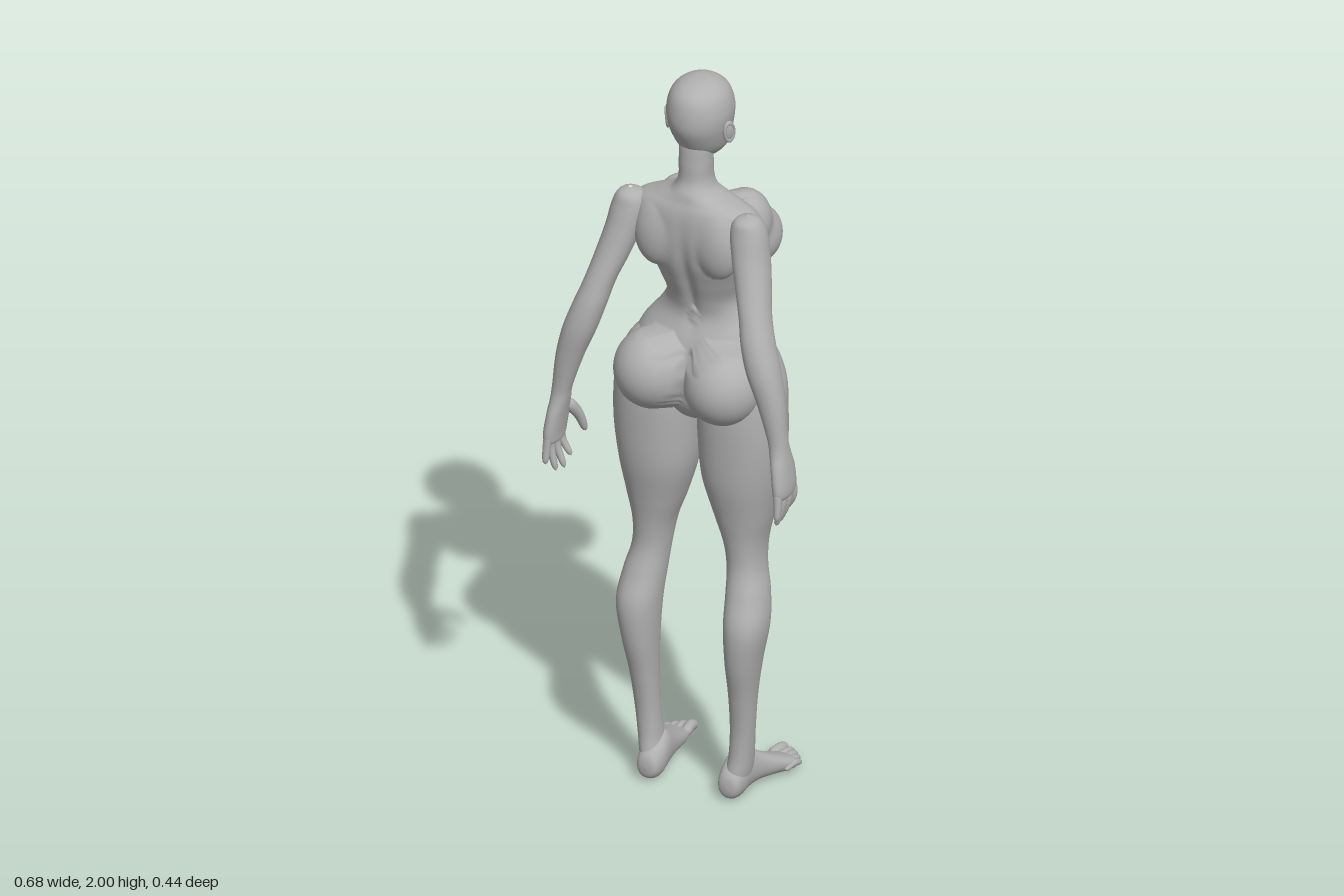
import * as THREE from 'three';

const skin = new THREE.MeshStandardMaterial({ color: 0xb0b0b0 });
skin.name = 'clay grey';

// Closed skin over a grid of points; wraps around each ring and always faces outwards
function skinGrid(rings) {
  const n = rings[0].length, pos = rings.flat(), index = [];
  for (let i = 0; i < rings.length - 1; i++) {
    for (let j = 0; j < n; j++) {
      const a = i * n + j, b = i * n + (j + 1) % n;
      index.push(a, b, a + n, b, b + n, a + n);
    }
  }
  let volume = 0;
  for (let i = 0; i < index.length; i += 3) {
    volume += pos[index[i]].dot(pos[index[i + 1]].clone().cross(pos[index[i + 2]]));
  }
  if (volume < 0) index.reverse();
  const g = new THREE.BufferGeometry().setFromPoints(pos);
  g.setIndex(index);
  g.computeVertexNormals();
  return g;
}

// Smooth in-between rows of a table of cross-sections
function refine(rows, steps) {
  const at = (i) => rows[Math.min(Math.max(i, 0), rows.length - 1)];
  const out = [];
  for (let i = 0; i < rows.length - 1; i++) {
    for (let s = 0; s < steps; s++) {
      const t = s / steps;
      out.push(rows[i].map((b, k) => {
        const a = at(i - 1)[k], c = at(i + 1)[k], d = at(i + 2)[k];
        return b + 0.5 * t * (c - a + t * (2 * a - 5 * b + 4 * c - d + t * (3 * (b - c) + d - a)));
      }));
    }
  }
  out.push(rows[rows.length - 1]);
  return out;
}

// Rows are [t, u0, u1, v0, v1]: position along the loft and the bounds of a rounded section
function loft(rows, place, sides = 32, steps = 6, power = 0.92) {
  const soft = (v) => Math.sign(v) * Math.abs(v) ** power;
  return skinGrid(refine(rows, steps).map(([t, u0, u1, v0, v1]) =>
    Array.from({ length: sides }, (_, j) => {
      const a = (j / sides) * Math.PI * 2;
      return place(t, (u0 + u1) / 2 + (u1 - u0) / 2 * soft(Math.cos(a)),
        (v0 + v1) / 2 + (v1 - v0) / 2 * soft(Math.sin(a)));
    })));
}
const upright = (y, x, z) => new THREE.Vector3(x, y, z);
const lengthwise = (z, x, y) => new THREE.Vector3(x, y, z);

// Round-ended tapering tube through points
function digit(points, r0, r1 = r0, sides = 12) {
  const curve = new THREE.CatmullRomCurve3(points.map((p) => new THREE.Vector3(...p)));
  const n = 16, frames = curve.computeFrenetFrames(n);
  return skinGrid(Array.from({ length: n + 1 }, (_, i) => {
    const t = i / n, r = (r0 + (r1 - r0) * t) * Math.sqrt(Math.max(0, 1 - Math.abs(2 * t - 1) ** 6));
    return Array.from({ length: sides }, (_, j) => {
      const a = (j / sides) * Math.PI * 2;
      return curve.getPointAt(t).addScaledVector(frames.normals[i], r * Math.cos(a))
        .addScaledVector(frames.binormals[i], r * Math.sin(a));
    });
  }));
}

const ball = (x, y, z, rx, ry, rz) =>
  new THREE.SphereGeometry(1, 24, 16).scale(rx, ry, rz).translate(x, y, z);

function mirrored(g) {
  const m = g.clone().scale(-1, 1, 1);
  m.setIndex(Array.from(g.index.array).reverse());
  m.computeVertexNormals();
  return m;
}

// Muscle and soft masses blended into the torso: centre, then radii
const masses = [
  [0.088, 1.515, -0.12, 0.07, 0.078, 0.085],
  [0.085, 1.575, -0.075, 0.07, 0.085, 0.075],
  [0.097, 1.18, 0.06, 0.1, 0.105, 0.105],
  [0.085, 1.57, 0.065, 0.06, 0.09, 0.042],
];

function torsoGeometry() {
  // y, half width, front z, back z
  const rows = [
    [1.85, 0, 0.02, 0.02], [1.84, 0.038, -0.015, 0.055], [1.78, 0.042, -0.025, 0.063],
    [1.73, 0.043, -0.03, 0.066], [1.7, 0.058, -0.035, 0.08], [1.68, 0.1, -0.042, 0.086],
    [1.655, 0.155, -0.052, 0.095], [1.62, 0.175, -0.072, 0.1], [1.56, 0.155, -0.09, 0.1],
    [1.5, 0.132, -0.1, 0.09], [1.44, 0.113, -0.112, 0.068], [1.38, 0.101, -0.125, 0.045],
    [1.33, 0.125, -0.133, 0.037], [1.27, 0.17, -0.14, 0.06], [1.2, 0.195, -0.135, 0.08],
    [1.13, 0.18, -0.115, 0.088], [1.08, 0.11, -0.09, 0.07], [1.05, 0.04, -0.05, 0.04],
    [1.045, 0, 0, 0],
  ].map(([y, w, f, b]) => [y, -w, w, f, b]);
  const g = loft(rows, (y, x, z) => {
    const axis = 0.01;
    let r = Math.hypot(x, z - axis);
    if (r < 0.03 || y > 1.72 || y < 1.06) return upright(y, x, z);
    const dx = Math.abs(x) / r, dz = (z - axis) / r;
    // Spine groove
    if (dz > 0) r -= 0.012 * Math.exp(-((x / 0.018) ** 2) - ((y - 1.45) / 0.13) ** 2);
    for (const [ex, ey, ez, ax, ay, az] of masses) {
      const ox = -ex / ax, oy = (y - ey) / ay, oz = (axis - ez) / az;
      const A = (dx / ax) ** 2 + (dz / az) ** 2, B = ox * dx / ax + oz * dz / az;
      const disc = B * B - A * (ox * ox + oy * oy + oz * oz - 1);
      if (disc <= 0) continue;
      const far = (-B + Math.sqrt(disc)) / A, k = 0.015;
      const h = Math.max(k - Math.abs(r - far), 0) / k;
      r = Math.max(r, far) + h * h * k / 4;
    }
    return upright(y, Math.sign(x) * dx * r, axis + dz * r);
  }, 120, 8);
  return g;
}

function headGeometry() {
  // y, half width, front z, back z
  const rows = [
    [2, 0, -0.01, -0.01], [1.997, 0.025, -0.035, 0.02], [1.985, 0.052, -0.062, 0.055],
    [1.96, 0.073, -0.088, 0.08], [1.92, 0.083, -0.101, 0.09], [1.88, 0.08, -0.102, 0.088],
    [1.84, 0.071, -0.099, 0.07], [1.81, 0.06, -0.097, 0.05], [1.787, 0.042, -0.094, 0.025],
    [1.774, 0.024, -0.087, -0.005], [1.768, 0, -0.05, -0.05],
  ].map(([y, w, f, b]) => [y, -w, w, f, b]);
  return loft(rows, (y, x, z) => {
    if (z < -0.03) {
      // Eye sockets, brow and cheeks
      const ax = Math.abs(x);
      const bump = (cx, cy, sx, sy) => Math.exp(-(((ax - cx) / sx) ** 2) - ((y - cy) / sy) ** 2);
      z += 0.012 * bump(0.033, 1.868, 0.018, 0.013) - 0.004 * bump(0.045, 1.838, 0.02, 0.015);
    }
    return upright(y, x, z);
  }, 64, 8, 1);
}

export function createModel() {
  const model = new THREE.Group();
  model.name = 'figure';
  const add = (name, g) => {
    const m = new THREE.Mesh(g, skin);
    m.name = name;
    model.add(m);
  };
  const pair = (name, g) => {
    add(name + 'Left', g);
    add(name + 'Right', mirrored(g));
  };

  add('torso', torsoGeometry());
  add('head', headGeometry());

  // Face
  add('noseBridge', digit([[0, 1.878, -0.096], [0, 1.855, -0.105], [0, 1.834, -0.111]], 0.007, 0.01));
  add('noseTip', ball(0, 1.837, -0.109, 0.009, 0.008, 0.011));
  pair('nostril', ball(0.009, 1.834, -0.103, 0.007, 0.006, 0.009));
  add('upperLip', ball(0, 1.811, -0.097, 0.02, 0.005, 0.008));
  add('lowerLip', ball(0, 1.803, -0.096, 0.017, 0.006, 0.008));
  pair('eye', ball(0.033, 1.867, -0.078, 0.015, 0.009, 0.011));
  pair('brow', digit([[0.014, 1.88, -0.096], [0.035, 1.887, -0.089], [0.054, 1.88, -0.074]], 0.005, 0.004));

  // Ears
  const ear = (g) => g.rotateY(Math.PI / 2 - 0.45).rotateX(0.2).translate(0.086, 1.868, 0.008);
  pair('earRim', ear(new THREE.TorusGeometry(0.018, 0.005, 10, 24).scale(0.8, 1.45, 1)));
  pair('earBowl', ear(new THREE.SphereGeometry(1, 16, 12).scale(0.014, 0.025, 0.006)));

  // Arms, from shoulder through palm
  pair('arm', loft([
    [1.673, 0.16, 0.17, 0.05, 0.06], [1.662, 0.132, 0.194, 0.025, 0.09],
    [1.63, 0.12, 0.21, 0.01, 0.102], [1.57, 0.13, 0.222, 0.012, 0.118],
    [1.5, 0.152, 0.238, 0.038, 0.14], [1.43, 0.177, 0.255, 0.072, 0.166],
    [1.37, 0.192, 0.275, 0.092, 0.186], [1.3, 0.213, 0.298, 0.106, 0.197],
    [1.22, 0.245, 0.315, 0.12, 0.195], [1.13, 0.274, 0.324, 0.133, 0.19],
    [1.09, 0.282, 0.329, 0.127, 0.194], [1.05, 0.29, 0.335, 0.115, 0.206],
    [1, 0.298, 0.34, 0.114, 0.213], [0.975, 0.302, 0.336, 0.125, 0.205],
    [0.968, 0.32, 0.32, 0.165, 0.165],
  ], upright));
  // Knuckle z, tip x, tip y, tip z
  [[0.125, 0.297, 0.905, 0.118], [0.151, 0.298, 0.886, 0.152],
    [0.177, 0.306, 0.892, 0.184], [0.2, 0.322, 0.92, 0.212]].forEach(([z, x, y, tz], i) =>
    pair('finger' + (i + 1), digit([[0.318, 1.005, z], [0.322, 0.955, (z + tz) / 2], [x, y, tz]], 0.0125, 0.008)));
  pair('thumb', digit([[0.303, 1.07, 0.137], [0.285, 1.02, 0.103], [0.274, 0.965, 0.084]], 0.018, 0.009));

  // Legs
  pair('leg', loft([
    [1.275, 0.11, 0.13, -0.04, 0], [1.24, 0.06, 0.187, -0.1, 0.06],
    [1.17, 0.012, 0.22, -0.118, 0.09], [1.1, 0.004, 0.228, -0.115, 0.1],
    [1, 0.006, 0.228, -0.115, 0.1], [0.9, 0.016, 0.215, -0.108, 0.094],
    [0.8, 0.045, 0.196, -0.095, 0.075], [0.72, 0.073, 0.179, -0.078, 0.062],
    [0.65, 0.085, 0.179, -0.063, 0.06], [0.58, 0.09, 0.195, -0.05, 0.08],
    [0.5, 0.095, 0.203, -0.036, 0.106], [0.4, 0.1, 0.187, -0.022, 0.1],
    [0.3, 0.103, 0.172, -0.014, 0.077], [0.2, 0.102, 0.163, -0.012, 0.06],
    [0.12, 0.097, 0.156, -0.022, 0.058], [0.07, 0.09, 0.15, -0.03, 0.064],
    [0.04, 0.095, 0.14, -0.02, 0.06], [0.03, 0.115, 0.115, 0.02, 0.02],
  ], upright, 40));

  // Feet
  pair('foot', loft([
    [0.077, 0.112, 0.112, 0.04, 0.04], [0.07, 0.088, 0.138, 0.012, 0.072],
    [0.04, 0.078, 0.147, 0.001, 0.1], [0, 0.08, 0.15, 0.006, 0.12],
    [-0.04, 0.086, 0.16, 0.011, 0.1], [-0.08, 0.092, 0.178, 0.01, 0.075],
    [-0.13, 0.102, 0.195, 0.003, 0.05], [-0.155, 0.11, 0.195, 0.003, 0.038],
    [-0.175, 0.118, 0.172, 0.007, 0.028], [-0.18, 0.143, 0.143, 0.018, 0.018],
  ], lengthwise));
  // Toe x, tip z, radius
  [[0.127, -0.222, 0.014], [0.149, -0.215, 0.01], [0.165, -0.204, 0.0095],
    [0.18, -0.19, 0.009], [0.193, -0.172, 0.0085]].forEach(([x, z, r], i) =>
    pair('toe' + (i + 1), digit([[x - 0.008, 0.024, z + 0.07], [x - 0.002, 0.025, z + 0.03], [x, 0.015, z]], r)));

  return model;
}
